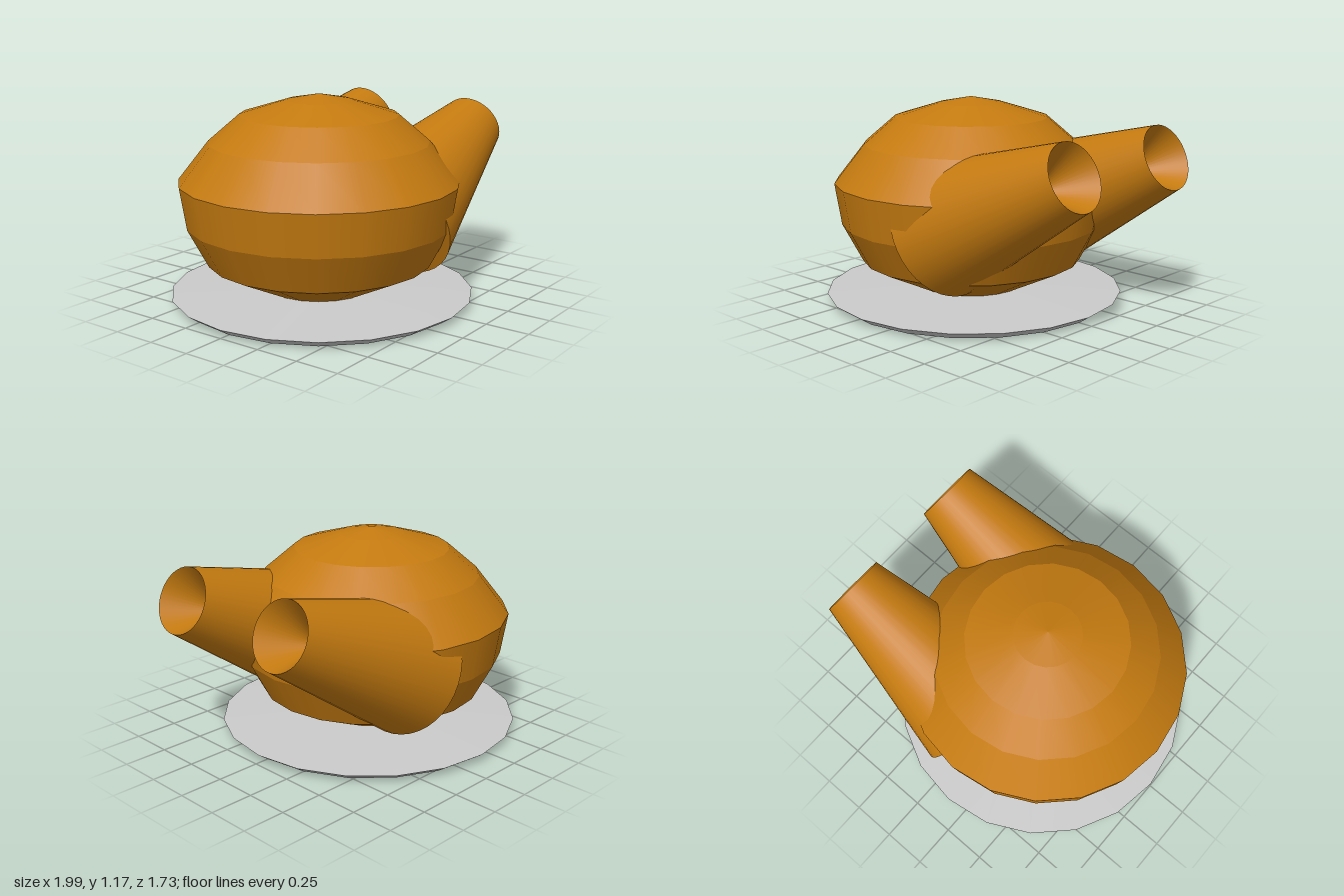
import * as THREE from 'three';

const brown = new THREE.MeshStandardMaterial({ color: 0xc47a10, side: THREE.DoubleSide });
brown.name = 'brown';
const grey = new THREE.MeshStandardMaterial({ color: 0xcacaca, side: THREE.DoubleSide });
grey.name = 'grey';

// One lathe per band, so shading is smooth around and creased between bands.
function bandedLathe(name, profile, segments, material) {
  const group = new THREE.Group();
  group.name = name;
  for (let i = 0; i < profile.length - 1; i++) {
    const points = [profile[i], profile[i + 1]].map(([r, y]) => new THREE.Vector2(r, y));
    const mesh = new THREE.Mesh(new THREE.LatheGeometry(points, segments), material);
    mesh.name = `${name}Band${i + 1}`;
    group.add(mesh);
  }
  return group;
}

export function createModel() {
  const model = new THREE.Group();
  model.name = 'twinSpoutVessel';

  // Thin base plate with a bevelled rim and slightly raised middle
  const plate = bandedLathe('basePlate',
    [[0, 0], [0.8, 0], [0.865, 0.045], [0.3, 0.07], [0, 0.07]], 20, grey);
  plate.position.x = -0.135;
  model.add(plate);

  // Rounded, faceted body
  const body = bandedLathe('body', [
    [0, 0.07], [0.31, 0.07], [0.64, 0.23], [0.755, 0.45], [0.793, 0.69],
    [0.62, 0.91], [0.445, 1.06], [0.185, 1.14], [0, 1.175],
  ], 20, brown);
  body.position.x = -0.157;
  model.add(body);

  // Two tapered spouts with hollow conical mouths
  const start = new THREE.Vector2(0.005, 0.485);
  const end = new THREE.Vector2(0.915, 0.893);
  const length = start.distanceTo(end);
  const tilt = Math.atan2(end.y - start.y, end.x - start.x) - Math.PI / 2;
  for (const [name, z] of [['frontSpout', 0.37], ['backSpout', -0.412]]) {
    const spout = bandedLathe(name,
      [[0, 0], [0.383, 0], [0.186, length], [0, length - 0.3]], 40, brown);
    spout.position.set(start.x, start.y, z);
    spout.rotation.z = tilt;
    model.add(spout);
  }

  return model;
}
